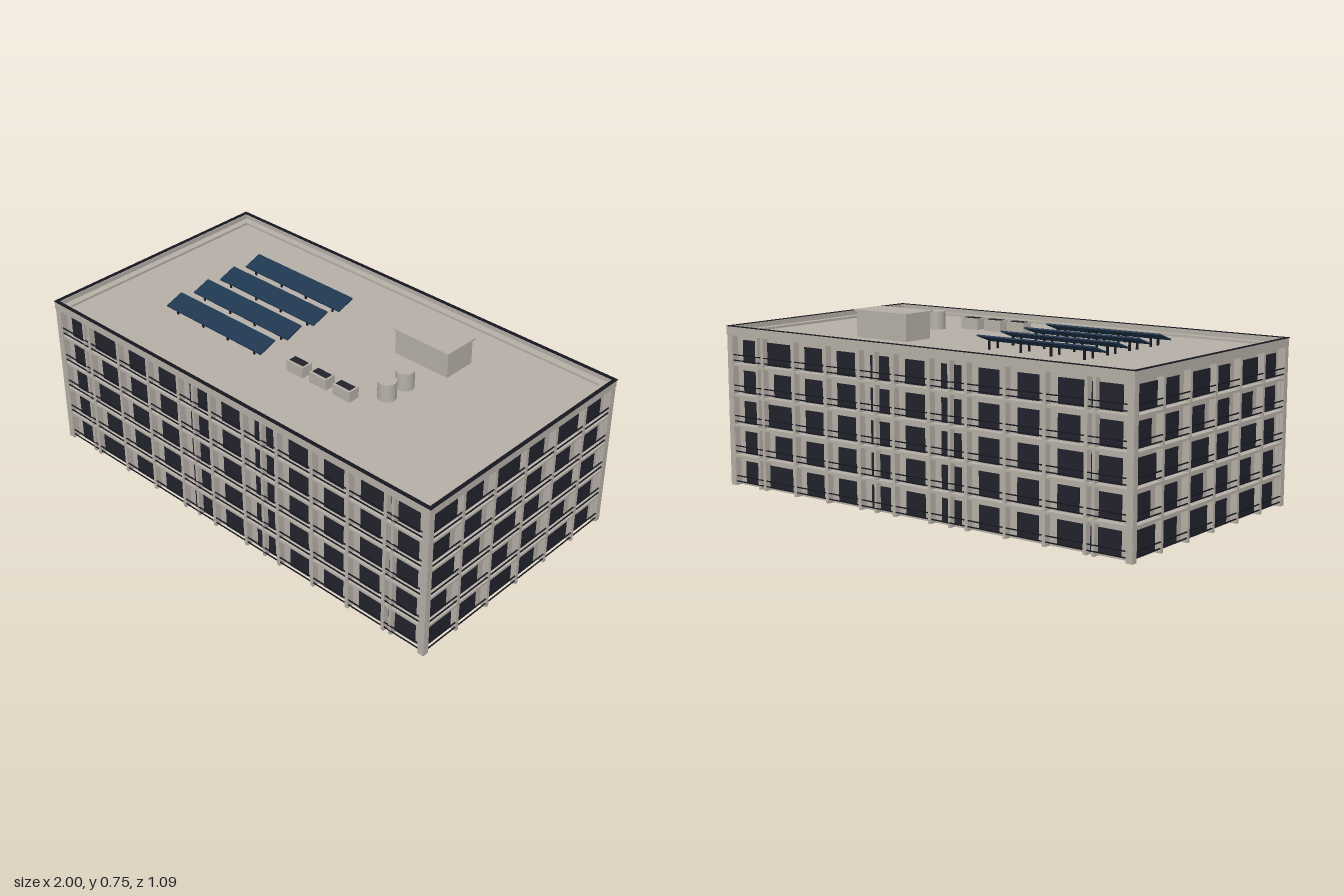
import * as THREE from 'three';

const mat = (name, color) => {
  const m = new THREE.MeshStandardMaterial({ color });
  m.name = name;
  return m;
};

export function createModel() {
  const concrete = mat('concrete', 0xb5afa6);
  const glass = mat('dark glass', 0x22222d);
  const metal = mat('dark metal', 0x16161f);
  const solar = mat('solar blue', 0x1e3650);

  const root = new THREE.Group();
  root.name = 'apartmentBlock';

  // box given by its lower and upper limits on each axis
  const box = (parent, name, m, x0, x1, y0, y1, z0, z1) => {
    const mesh = new THREE.Mesh(new THREE.BoxGeometry(x1 - x0, y1 - y0, z1 - z0), m);
    mesh.position.set((x0 + x1) / 2, (y0 + y1) / 2, (z0 + z1) / 2);
    mesh.name = name;
    parent.add(mesh);
    return mesh;
  };

  const FLOOR = 0.127, BAY = 0.177, FLOORS = 5, TOP = 0.667, ROOF = 0.635;
  const WX = 0.967, WZ = 0.512, EX = 0.996, EZ = 0.545;

  box(root, 'buildingCore', concrete, -WX, WX, 0, ROOF, -WZ, WZ);

  // one facade: u runs along x, the wall plane is z = 0, outward is +z
  function facade(name, bays, paired, pipes) {
    const g = new THREE.Group();
    g.name = name;
    const half = bays * BAY / 2;
    for (let i = 0; i <= bays; i++) {
      const u = -half + i * BAY;
      box(g, 'fin', concrete, u - 0.007, u + 0.007, 0, ROOF, 0, 0.029);
    }
    for (const u of pipes) box(g, 'serviceFin', concrete, u - 0.006, u + 0.006, 0, ROOF, 0, 0.027);

    for (let f = 0; f < FLOORS; f++) {
      const y = f * FLOOR;
      box(g, 'floorLedge', concrete, -half, half, y + FLOOR - 0.006, y + FLOOR + 0.004, 0, 0.028);
      for (const h of [0.018, 0.041]) {
        box(g, 'railing', metal, -half, half, y + h - 0.002, y + h + 0.002, 0.0235, 0.0275);
      }
      for (let b = 0; b < bays; b++) {
        const c = -half + (b + 0.5) * BAY;
        let a = c - 0.047, e = c + 0.047;
        // on even floors paired windows stretch to the fin between them
        if (f % 2 === 0 && paired(b)) {
          if (paired(b) > 0) e = c + BAY / 2 - 0.005;
          else a = c - BAY / 2 + 0.005;
        }
        box(g, 'window', glass, a, e, y + 0.008, y + 0.102, 0, 0.004);
      }
    }
    root.add(g);
    return g;
  }

  const longPairs = b => ({ 0: 1, 1: -1, 9: 1, 10: -1 })[b] || 0;
  const shortPairs = b => (b % 2 ? -1 : 1);
  const longPipes = [-0.83, -0.185, 0.185, 0.83];
  facade('frontFacade', 11, longPairs, longPipes).position.z = WZ;
  const back = facade('backFacade', 11, longPairs, longPipes);
  back.position.z = -WZ;
  back.rotation.y = Math.PI;
  for (const s of [1, -1]) {
    const side = facade(s > 0 ? 'leftFacade' : 'rightFacade', 6, shortPairs, []);
    side.position.x = s * WX;
    side.rotation.y = s * Math.PI / 2;
  }

  // corner posts
  for (const sx of [-1, 1]) for (const sz of [-1, 1]) {
    const p = box(root, 'cornerPost', concrete, -0.0135, 0.0135, 0, ROOF, -0.0135, 0.0135);
    p.position.x = sx * 0.982;
    p.position.z = sz * 0.529;
  }

  // parapet ring and its dark coping
  function ring(name, m, x, z, w, y, h) {
    const s = new THREE.Shape([[-x, -z], [x, -z], [x, z], [-x, z]].map(p => new THREE.Vector2(...p)));
    s.holes.push(new THREE.Path([[-1, -1], [-1, 1], [1, 1], [1, -1]]
      .map(([a, b]) => new THREE.Vector2(a * (x - w), b * (z - w)))));
    const mesh = new THREE.Mesh(new THREE.ExtrudeGeometry(s, { depth: h, bevelEnabled: false }), m);
    mesh.rotation.x = -Math.PI / 2;
    mesh.position.y = y;
    mesh.name = name;
    root.add(mesh);
  }
  ring('parapet', concrete, EX, EZ, 0.045, ROOF - 0.002, 0.012);
  ring('parapetWall', concrete, EX, EZ, 0.015, ROOF, TOP - ROOF - 0.002);
  ring('coping', metal, 1, EZ, 0.016, TOP - 0.002, 0.002);

  // tilted solar panels on short legs
  for (let i = 0; i < 4; i++) {
    const row = new THREE.Group();
    row.name = 'solarPanelRow';
    row.position.set(-0.376, 0.674, -0.237 + i * 0.148);
    const panel = box(row, 'solarPanel', solar, -0.269, 0.269, -0.003, 0.003, -0.043, 0.043);
    panel.rotation.x = 0.33;
    for (const x of [-0.22, -0.07, 0.07, 0.22]) {
      box(row, 'panelLeg', metal, x - 0.004, x + 0.004, ROOF - 0.674, 0.007, -0.029, -0.023);
      box(row, 'panelLeg', metal, x - 0.004, x + 0.004, ROOF - 0.674, -0.008, 0.023, 0.029);
    }
    root.add(row);
  }

  // stair house
  box(root, 'stairHouse', concrete, 0.235, 0.497, ROOF, 0.74, -0.296, -0.15);
  box(root, 'stairHouseRoof', concrete, 0.227, 0.504, 0.74, 0.747, -0.305, -0.142);

  // water tanks
  for (const z of [0.003, 0.104]) {
    const tank = new THREE.Mesh(new THREE.CylinderGeometry(0.037, 0.037, 0.711 - ROOF, 32), concrete);
    tank.position.set(0.417, (ROOF + 0.711) / 2, z);
    tank.name = 'waterTank';
    root.add(tank);
  }

  // air conditioners with dark top grilles
  for (const x of [0.058, 0.178, 0.298]) {
    box(root, 'airConditioner', concrete, x - 0.043, x + 0.043, ROOF, 0.681, 0.177, 0.229);
    for (const s of [-1, 1]) {
      const c = x + s * 0.018;
      box(root, 'airGrille', glass, c - 0.017, c + 0.017, 0.68, 0.683, 0.187, 0.219);
    }
  }
  return root;
}
